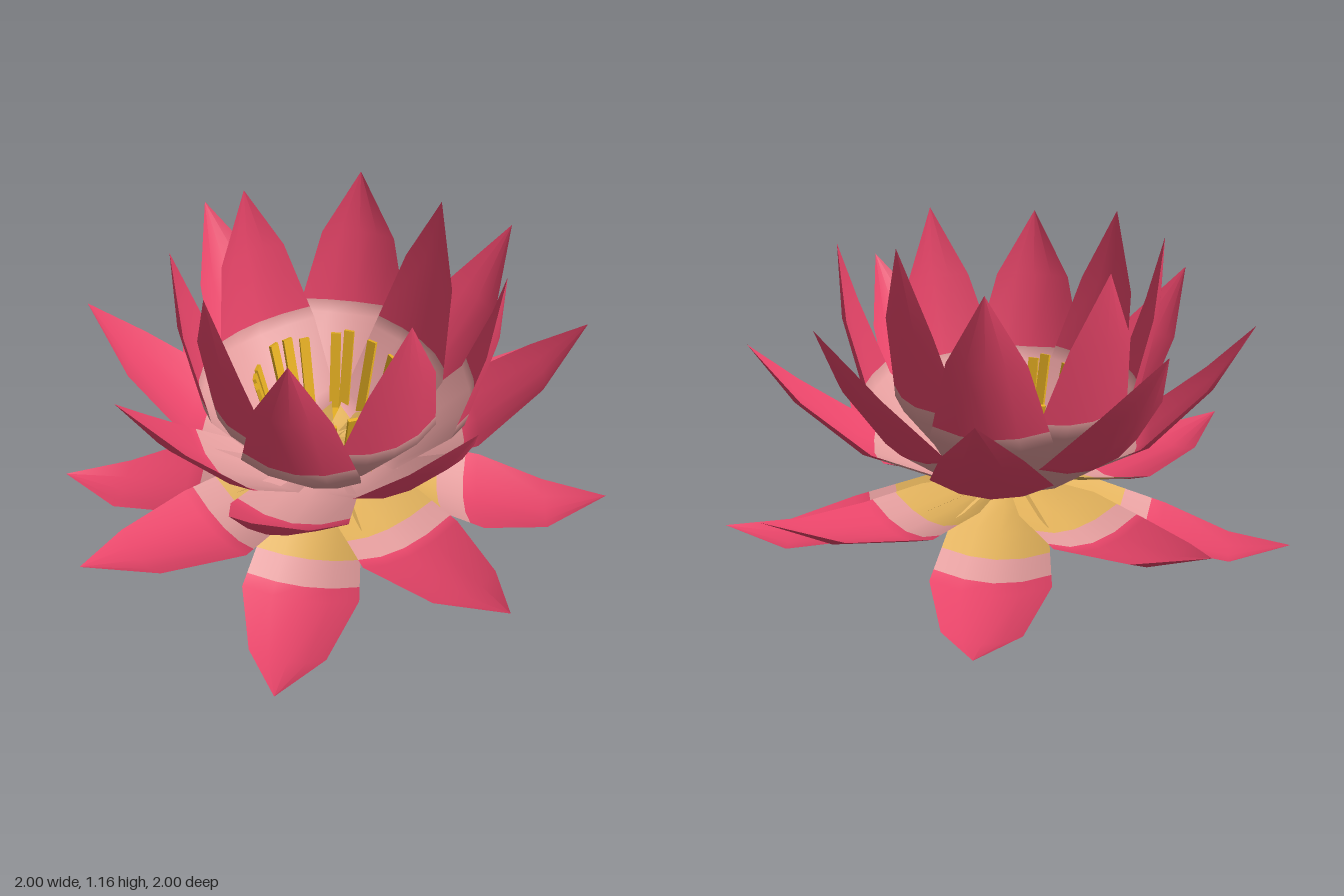
import * as THREE from 'three';

const flat = (name, color) => {
  const m = new THREE.MeshStandardMaterial({ color, side: THREE.DoubleSide });
  m.name = name;
  return m;
};

// Centre line of each ring's petals as [radius, height] from base to tip,
// and the two places along it where the colour changes.
const RINGS = {
  innerPetal: { line: [[0.01, 0.347], [0.22, 0.338], [0.41, 0.55], [0.48, 0.87], [0.49, 1.13]], bands: [0.15, 0.54] },
  middlePetal: { line: [[0.01, 0.27], [0.25, 0.3], [0.47, 0.44], [0.66, 0.66], [0.8, 0.89]], bands: [0.15, 0.47] },
  slantedPetal: { line: [[0.01, 0.27], [0.25, 0.29], [0.52, 0.4], [0.74, 0.59], [0.88, 0.78]], bands: [0.15, 0.45] },
  lowerPetal: { line: [[0.01, 0.27], [0.25, 0.205], [0.48, 0.16], [0.78, 0.21], [1, 0.31]], bands: [0.36, 0.46] },
  droopingPetal: { line: [[0.01, 0.265], [0.27, 0.165], [0.52, 0.06], [0.76, 0.012], [0.97, 0.07]], bands: [0.355, 0.45] },
};
const HALF_WIDTHS = [0.03, 0.165, 0.2, 0.13, 0];

// Petals of each ring: [angle from the front in degrees, tip radius, tip height]
const PETALS = {
  innerPetal: [
    [0, 0.48, 1.14], [42, 0.56, 1.08], [87, 0.48, 1.13], [137, 0.58, 1.09],
    [180, 0.46, 1.16], [-136, 0.585, 1.09], [-90, 0.51, 1.11], [-37, 0.52, 1.12],
  ],
  middlePetal: [[0, 0.82, 0.88], [90, 0.79, 0.9], [180, 0.78, 0.95], [-91, 0.8, 0.91]],
  slantedPetal: [[40, 0.9, 0.74], [150, 0.88, 0.79], [-135, 0.9, 0.78], [-44, 0.83, 0.84]],
  lowerPetal: [[0, 1, 0.28], [90, 1, 0.31], [180, 1, 0.36], [-90, 1, 0.31]],
  droopingPetal: [[44.6, 0.975, 0.08], [144, 0.99, 0.1], [-135, 0.98, 0.06], [-44.6, 0.98, 0.05]],
};

// Linear lookup in a list of evenly spaced values
const sample = (list, u) => {
  const f = Math.min(u * (list.length - 1), list.length - 1.0001);
  const i = Math.floor(f);
  return THREE.MathUtils.lerp(list[i], list[i + 1], f - i);
};

// A cupped petal along +z, with one geometry group for each colour band
function petalGeometry({ line, bands }, tipR, tipY) {
  const [endR, endY] = line[line.length - 1];
  const radii = line.map(p => p[0] * tipR / endR);
  const heights = line.map((p, i) => p[1] + (tipY - endY) * (i / 4) ** 2);
  const rows = [0, 0.12, 0.25, 0.5, 0.75, 1, ...bands].sort((a, b) => a - b);
  const cols = [-1, -0.5, 0, 0.5, 1];
  const positions = [], index = [], counts = [0, 0, 0];

  rows.forEach((u, i) => {
    const w = sample(HALF_WIDTHS, u);
    const a = Math.max(u - 0.12, 0), b = Math.min(u + 0.12, 1);
    const dr = sample(radii, b) - sample(radii, a);
    const dy = sample(heights, b) - sample(heights, a);
    const len = Math.hypot(dr, dy);
    for (const s of cols) {
      const lift = 0.27 * w * s * s;
      positions.push(s * w, sample(heights, u) + lift * dr / len, sample(radii, u) - lift * dy / len);
    }
    if (i === 0) return;
    const mid = (u + rows[i - 1]) / 2;
    const band = mid < bands[0] ? 0 : mid < bands[1] ? 1 : 2;
    for (let c = 0; c < 4; c++) {
      const p = (i - 1) * 5 + c, q = p + 5;
      index.push(p, q, p + 1, p + 1, q, q + 1);
      counts[band] += 6;
    }
  });

  const geo = new THREE.BufferGeometry();
  geo.setAttribute('position', new THREE.Float32BufferAttribute(positions, 3));
  geo.setIndex(index);
  geo.computeVertexNormals();
  let start = 0;
  counts.forEach((n, k) => {
    geo.addGroup(start, n, k);
    start += n;
  });
  return geo;
}

export function createModel() {
  const model = new THREE.Group();
  model.name = 'waterLily';
  const petalColours = [flat('honey', 0xe0b05a), flat('palePink', 0xe29c9c), flat('crimson', 0xe64468)];
  const gold = flat('gold', 0xeeb624);

  // Petal rings
  for (const [name, list] of Object.entries(PETALS)) {
    const ring = new THREE.Group();
    ring.name = name + 'Ring';
    for (const [angle, tipR, tipY] of list) {
      const petal = new THREE.Mesh(petalGeometry(RINGS[name], tipR, tipY), petalColours);
      petal.name = name;
      petal.rotation.y = THREE.MathUtils.degToRad(angle);
      ring.add(petal);
    }
    model.add(ring);
  }

  // Eight-sided seed pod, with the petal bases just showing at its middle
  const pod = new THREE.Mesh(new THREE.CylinderGeometry(0.19, 0.06, 0.07, 8), gold);
  pod.name = 'seedPod';
  pod.position.y = 0.312;
  model.add(pod);

  // Stamens leaning outwards around the pod
  const stamens = new THREE.Group();
  stamens.name = 'stamens';
  const stamenGeo = new THREE.BoxGeometry(0.035, 0.34, 0.012);
  for (let i = 0; i < 20; i++) {
    const pivot = new THREE.Group();
    pivot.rotation.y = (i + 0.25 * Math.sin(i * 2.3)) * Math.PI / 10;
    const stamen = new THREE.Mesh(stamenGeo, gold);
    stamen.name = 'stamen';
    stamen.position.set(0, 0.46 + 0.015 * Math.sin(i * 1.7), 0.215);
    stamen.rotation.x = 0.24;
    pivot.add(stamen);
    stamens.add(pivot);
  }
  model.add(stamens);
  return model;
}
